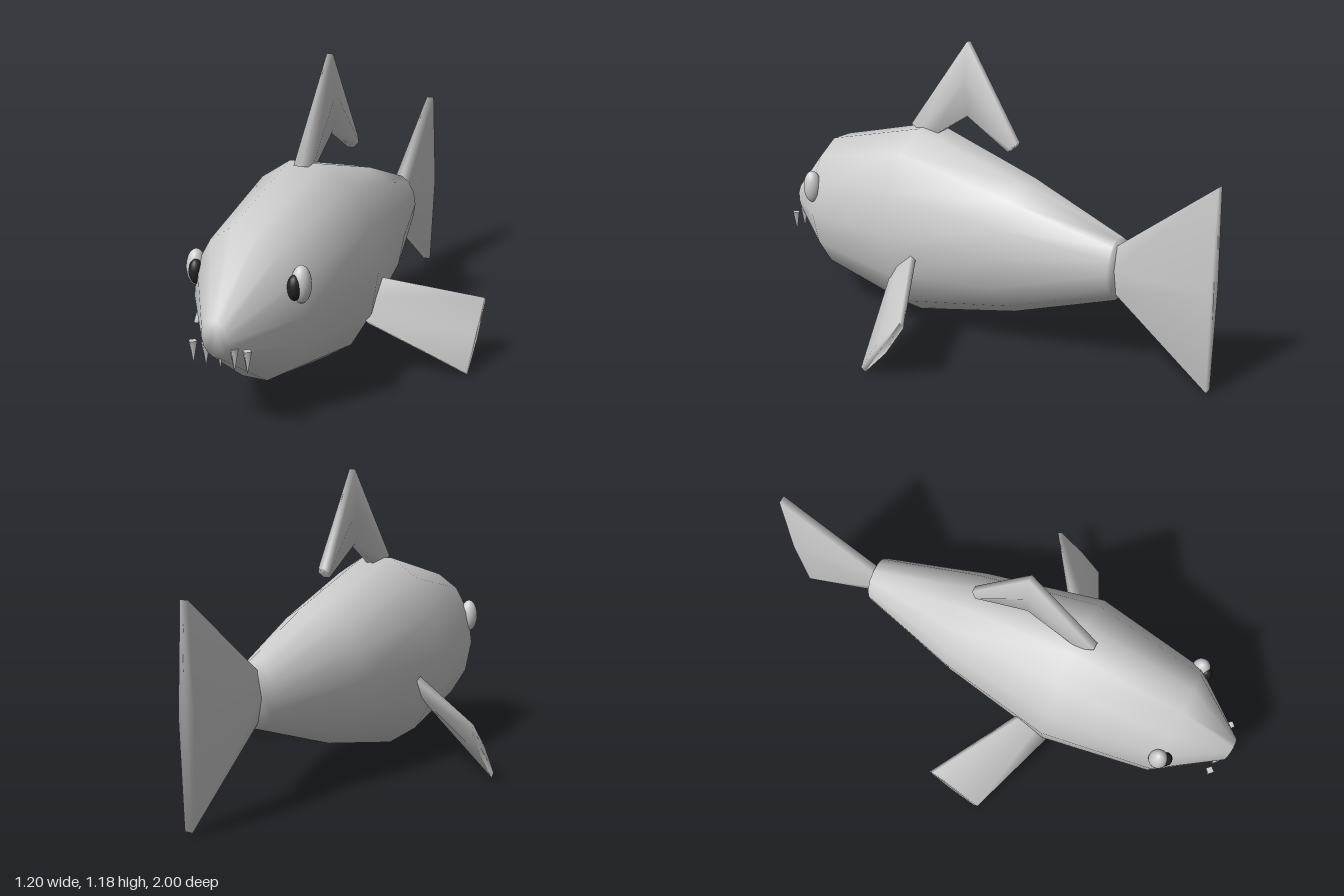
import * as THREE from 'three';

// Closed skin through oval sections: [top point, bottom point, half-width vector]
function loft(sections, n) {
  const pos = [], idx = [];
  const k = 1 / Math.cos(Math.PI / n);
  for (const [a, b, w] of sections) {
    for (let i = 0; i < n; i++) {
      const t = ((i + 0.5) * 2 * Math.PI) / n;
      for (let c = 0; c < 3; c++) {
        pos.push((a[c] + b[c]) / 2 + ((a[c] - b[c]) / 2) * Math.cos(t) * k + w[c] * Math.sin(t));
      }
    }
  }
  const last = (sections.length - 1) * n;
  for (let j = 0; j < last; j += n) {
    for (let i = 0; i < n; i++) {
      const p = j + i, q = j + ((i + 1) % n);
      idx.push(p, q, p + n, q, q + n, p + n);
    }
  }
  // end caps
  for (let i = 1; i < n - 1; i++) {
    idx.push(0, i + 1, i, last, last + i, last + i + 1);
  }
  const g = new THREE.BufferGeometry();
  g.setAttribute('position', new THREE.Float32BufferAttribute(pos, 3));
  g.setIndex(idx);
  g.computeVertexNormals();
  return g;
}

export function createModel() {
  const group = new THREE.Group();
  const skin = new THREE.MeshStandardMaterial({ color: 0xcccccc });
  skin.name = 'paleGrey';
  const dark = new THREE.MeshStandardMaterial({ color: 0x222222 });
  dark.name = 'pupilBlack';

  const add = (name, geometry, material = skin) => {
    const mesh = new THREE.Mesh(geometry, material);
    mesh.name = name;
    group.add(mesh);
    return mesh;
  };
  // section in the middle plane: top z, top y, bottom z, bottom y, half width
  const mid = ([tz, ty, bz, by, w]) => [[0, ty, tz], [0, by, bz], [w, 0, 0]];

  // body, nose to tail root
  add('body', loft([
    [1.0, 0.44, 0.98, 0.30, 0.05],
    [0.765, 0.69, 0.72, 0.115, 0.225],
    [0.295, 0.81, 0.29, 0.03, 0.295],
    [-0.2, 0.67, -0.17, 0.13, 0.205],
    [-0.61, 0.525, -0.61, 0.28, 0.087],
  ].map(mid), 14));

  // tail fin
  add('tailFin', loft([
    [-0.6, 0.49, -0.6, 0.31, 0.033],
    [-1.0, 0.8, -1.0, 0.01, 0.033],
  ].map(mid), 6));

  // swept dorsal fin
  add('dorsalFin', loft([
    [0.365, 0.81, 0.25, 0.78, 0.033],
    [0.085, 1.18, 0.085, 0.885, 0.026],
    [-0.15, 0.81, -0.11, 0.77, 0.026],
  ].map(mid), 6));

  for (const s of [1, -1]) {
    const side = s > 0 ? 'left' : 'right';

    // side fin
    add(side + 'SideFin', loft([
      [[s * 0.25, 0.35, 0.175], [s * 0.25, 0.213, 0.295], [0, s * 0.019, s * 0.023]],
      [[s * 0.6, 0.242, -0.052], [s * 0.6, 0.005, 0.145], [0, s * 0.016, s * 0.019]],
    ], 6));

    // eye and pupil
    const eye = add(side + 'Eye', new THREE.SphereGeometry(1, 20, 14));
    eye.scale.set(0.036, 0.068, 0.038);
    eye.position.set(s * 0.206, 0.517, 0.752);
    const pupil = add(side + 'Pupil', new THREE.SphereGeometry(1, 20, 14), dark);
    pupil.scale.set(0.026, 0.046, 0.028);
    pupil.position.set(s * 0.193, 0.511, 0.777);
  }

  // row of pointed teeth
  for (const x of [-0.105, -0.055, 0, 0.055, 0.105]) {
    const tooth = add('tooth', new THREE.ConeGeometry(0.018, 0.085, 4));
    tooth.rotation.x = Math.PI;
    tooth.position.set(x, 0.2925, 0.957);
  }

  return group;
}
